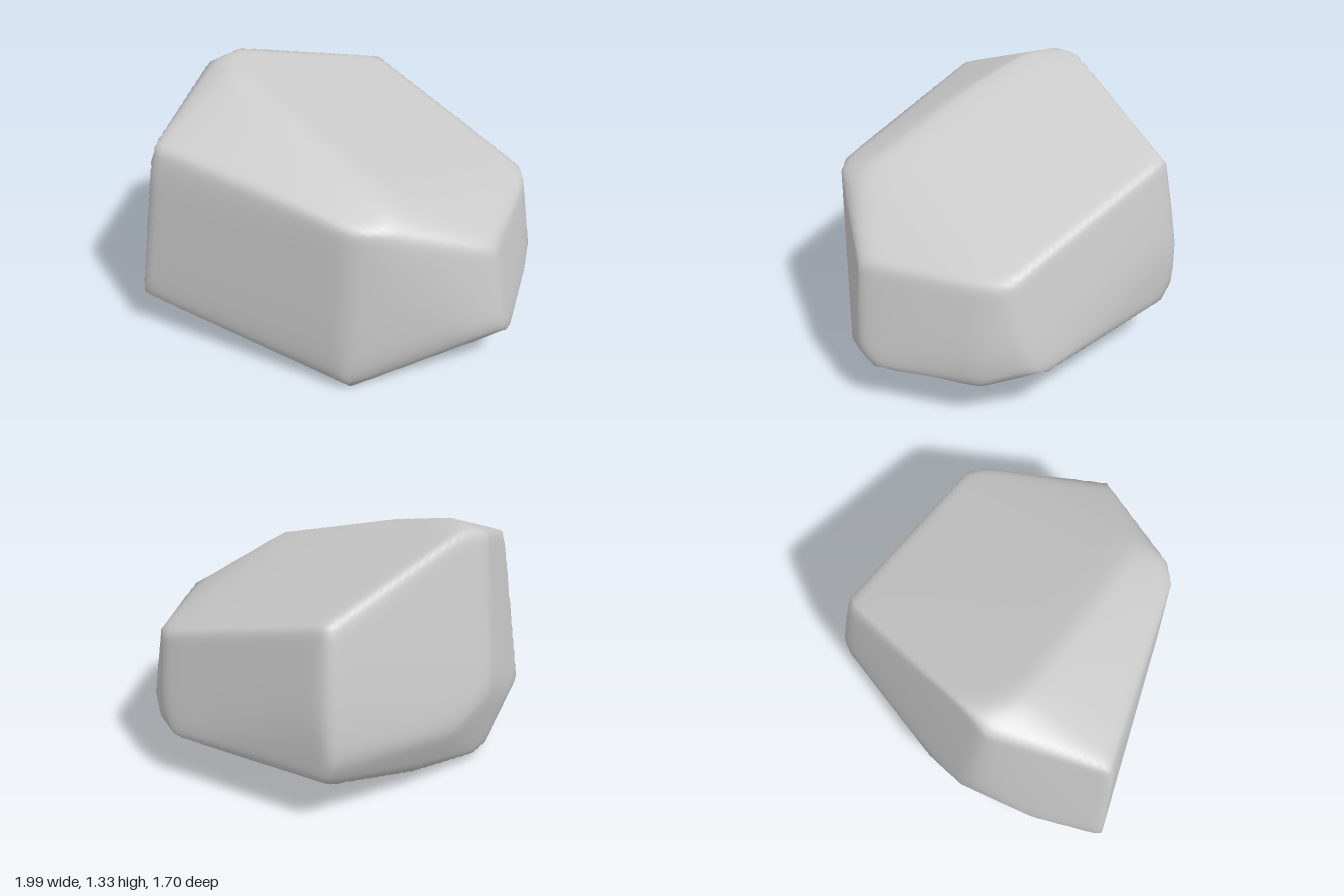
import * as THREE from 'three';
import { ConvexGeometry } from 'three/addons/geometries/ConvexGeometry.js';

// Corners of the boulder
const CORNERS = [
  // sloping top and its peak
  [-0.52, 1.33, -0.3], [-0.6, 1.33, -0.18], [-0.52, 1.33, -0.05], [-0.68, 1.29, -0.2],
  [-0.28, 1.245, 0.2], [0.28, 1.02, 0.68], [0.93, 0.79, -0.1], [0.18, 1.07, -0.77],
  // front face
  [0.2, 0.95, 0.84], [0.08, 0.96, 0.84], [-0.88, 1.11, 0.35], [-0.905, 1.0, 0.37],
  [-1, 0.23, 0.35], [0.08, 0.14, 0.85],
  // right-hand facets
  [0.78, 0.75, 0.64], [0.74, 0.3, 0.71], [0.84, 0.3, 0.65], [0.88, 0.24, 0.58],
  [0.95, 0.77, 0], [1, 0.39, 0.02], [0.97, 0.35, 0.22], [0.98, 0.23, 0.04],
  [0.96, 0.4, -0.16], [0.9, 0.27, -0.25],
  // back edge
  [0.14, 1.03, -0.79], [0.13, 0.6, -0.85], [0.18, 0.6, -0.85], [0.15, 0.37, -0.85],
  [0.2, 0.28, -0.8], [0.15, 0.24, -0.77],
  // left side
  [-0.69, 0.5, -0.35], [-0.48, 0.35, -0.49], [-0.88, 0.35, 0],
  // underside
  [0.1, 0, 0.78], [0.08, 0.06, 0.83], [0.6, 0.1, 0.5], [-0.66, 0.05, -0.18],
  [-0.74, 0.07, -0.1], [-0.9, 0.15, 0.2], [-0.3, 0.11, -0.45],
].map((c) => new THREE.Vector3(...c));

const CENTRE = new THREE.Vector3(0, 0.6, 0);
const SOFTNESS = 0.016; // width over which the shading blends across an edge

// Face planes of the convex hull, relative to the centre
function facePlanes() {
  const pos = new ConvexGeometry(CORNERS).attributes.position;
  const planes = [];
  for (let i = 0; i < pos.count; i += 3) {
    const [a, b, c] = [0, 1, 2].map((k) => new THREE.Vector3().fromBufferAttribute(pos, i + k).sub(CENTRE));
    const normal = b.clone().sub(a).cross(c.clone().sub(a));
    if (normal.length() < 1e-6) continue;
    normal.normalize();
    planes.push({ normal, h: normal.dot(a) });
  }
  return planes;
}

// Push a fine sphere out to the planes and blend normals near the edges
function boulderGeometry() {
  const planes = facePlanes();
  const geo = new THREE.IcosahedronGeometry(1, 44);
  const { position, normal } = geo.attributes;
  const p = new THREE.Vector3();
  const n = new THREE.Vector3();
  for (let i = 0; i < position.count; i++) {
    p.fromBufferAttribute(position, i).normalize();
    let gauge = 0;
    for (const f of planes) gauge = Math.max(gauge, f.normal.dot(p) / f.h);
    p.divideScalar(gauge);
    n.set(0, 0, 0);
    for (const f of planes) n.addScaledVector(f.normal, Math.exp((f.normal.dot(p) - f.h) / SOFTNESS));
    n.normalize();
    p.add(CENTRE);
    position.setXYZ(i, p.x, p.y, p.z);
    normal.setXYZ(i, n.x, n.y, n.z);
  }
  return geo;
}

export function createModel() {
  const group = new THREE.Group();
  group.name = 'rock';
  const boulder = new THREE.Mesh(boulderGeometry(), new THREE.MeshStandardMaterial({ color: 0xcccccc }));
  boulder.name = 'boulder';
  group.add(boulder);
  return group;
}
